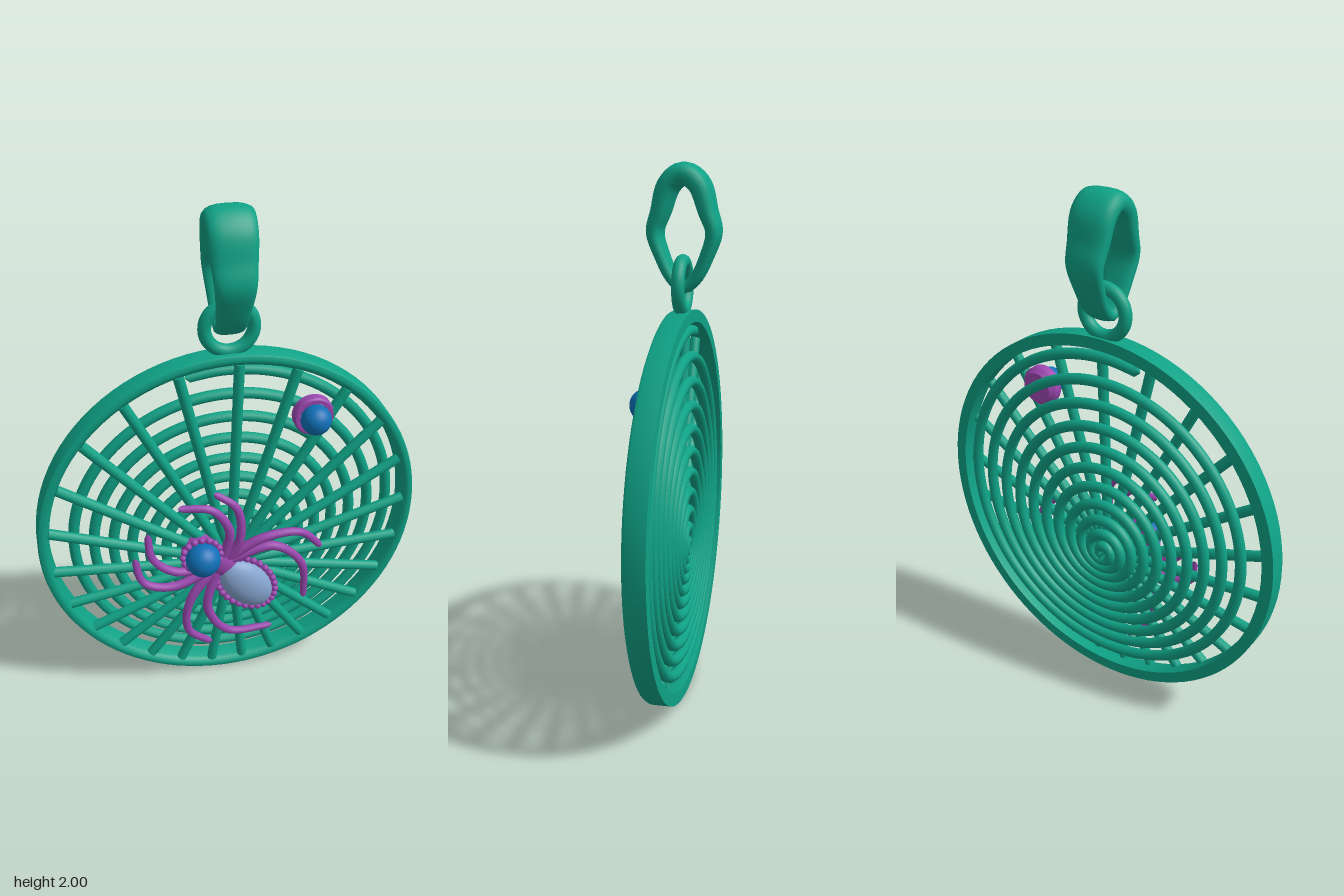
import * as THREE from 'three';
import { toCreasedNormals } from 'three/addons/utils/BufferGeometryUtils.js';

const mat = (color) => new THREE.MeshStandardMaterial({ color });
const teal = mat(0x0fa286), purple = mat(0x9c48b0), blue = mat(0x0f70b7), pale = mat(0x86a5cf);
const V = (x, y, z) => new THREE.Vector3(x, y, z);

const RIM_Y = 0.74;   // centre of the round frame
const WEB_Y = 0.56;   // centre of the web, lower than the frame's

function add(parent, name, geometry, material, x = 0, y = 0, z = 0) {
  const mesh = new THREE.Mesh(geometry, material);
  mesh.name = name;
  mesh.position.set(x, y, z);
  parent.add(mesh);
  return mesh;
}

// Tube whose radius follows radiusAt(t); used for rounded or tapering ends
function taperedTube(curve, segments, radiusAt, sides = 8) {
  const geo = new THREE.TubeGeometry(curve, segments, 1, sides);
  const pos = geo.attributes.position, p = V(0, 0, 0);
  for (let i = 0; i <= segments; i++) {
    const c = curve.getPointAt(i / segments), r = radiusAt(i / segments);
    for (let j = 0; j <= sides; j++) {
      const k = i * (sides + 1) + j;
      p.fromBufferAttribute(pos, k).sub(c).multiplyScalar(r).add(c);
      pos.setXYZ(k, p.x, p.y, p.z);
    }
  }
  return geo;
}

// Lathe turned to face +z; profile points are [radius, z]
function latheZ(profile, segments) {
  const geo = new THREE.LatheGeometry(profile.map(([r, z]) => new THREE.Vector2(r, z)), segments);
  return toCreasedNormals(geo.rotateX(Math.PI / 2), 0.7);
}

// Closed loop of rounded sections, wide at the top and narrow at the bottom
function bailGeometry() {
  const half = [[0.052, 1.925], [0.085, 1.83], [0.106, 1.76], [0.083, 1.68], [0.04, 1.595]];
  const pts = [[0, 1.96], ...half, [0, 1.565], ...half.map(([z, y]) => [-z, y]).reverse()];
  const curve = new THREE.CatmullRomCurve3(pts.map(([z, y]) => V(0, y, z - 0.015)), true);
  const n = 64, m = 20, pos = [], idx = [];
  const soft = (v) => Math.sign(v) * Math.abs(v) ** 0.75;
  for (let i = 0; i < n; i++) {
    const c = curve.getPointAt(i / n), t = curve.getTangentAt(i / n);
    const k = THREE.MathUtils.smoothstep(c.y, 1.5, 1.98);
    const w = 0.053 + 0.034 * k, h = 0.022 + 0.018 * k ** 2;
    for (let j = 0; j < m; j++) {
      const a = (j / m) * Math.PI * 2, s = h * soft(Math.sin(a));
      pos.push(w * soft(Math.cos(a)), c.y + t.z * s, c.z - t.y * s);
      const A = i * m + j, B = i * m + (j + 1) % m, D = ((i + 1) % n) * m;
      idx.push(A, B, D + j, B, D + (j + 1) % m, D + j);
    }
  }
  const geo = new THREE.BufferGeometry();
  geo.setAttribute('position', new THREE.Float32BufferAttribute(pos, 3));
  geo.setIndex(idx);
  geo.computeVertexNormals();
  return geo;
}

// Oval stone setting: solid base with a row of beads round its edge
function beadedSetting(parent, name, rx, ry, count, depth) {
  const base = new THREE.CylinderGeometry(1, 1, depth, 40).rotateX(Math.PI / 2).scale(rx, ry, 1);
  add(parent, name + 'Base', base, purple, 0, 0, depth / 2);
  const beads = new THREE.Group();
  beads.name = name + 'Beads';
  for (let i = 0; i < count; i++) {
    const a = (i / count) * Math.PI * 2;
    add(beads, 'bead', new THREE.SphereGeometry(0.014, 10, 8), purple,
      rx * Math.cos(a), ry * Math.sin(a), depth);
  }
  parent.add(beads);
}

function web() {
  const group = new THREE.Group();
  group.name = 'web';
  // Straight spokes from the web centre to the frame
  const drop = RIM_Y - WEB_Y;
  for (let i = 0; i < 25; i++) {
    const a = THREE.MathUtils.degToRad(88 - i * 14.4);
    const od = -drop * Math.sin(a);
    const len = -od + Math.sqrt(od * od - drop * drop + 0.7 * 0.7);
    const spoke = add(group, 'spoke', new THREE.CylinderGeometry(0.02, 0.02, len, 12),
      teal, Math.cos(a) * len / 2, WEB_Y + Math.sin(a) * len / 2, 0.018);
    spoke.rotation.z = a - Math.PI / 2;
  }
  // Spiral thread behind the spokes, its turns shrinking towards the web centre
  const pts = [], turns = 11, perTurn = 32, total = turns * perTurn;
  for (let i = 0; i < total; i++) {
    const a = THREE.MathUtils.degToRad(104) - (i / perTurn) * Math.PI * 2;
    const s = (1 - i / total) ** 1.3;
    pts.push(V(0.665 * Math.cos(a) * s, WEB_Y + (0.665 * Math.sin(a) + drop) * s, -0.02));
  }
  const curve = new THREE.CatmullRomCurve3(pts);
  curve.arcLengthDivisions = 3000;
  const radius = (t) => 0.021 * Math.sqrt(Math.min(1, t * 1200, (1 - t) * 1200));
  add(group, 'spiralThread', taperedTube(curve, 1100, radius, 10), teal);
  return group;
}

function spider() {
  const group = new THREE.Group();
  group.name = 'spider';

  // Legs, each from the body out to its tip
  const legs = [
    [[-0.03, 0.59], [0.025, 0.69], [0.015, 0.84], [-0.07, 0.91]],
    [[-0.04, 0.60], [-0.015, 0.74], [-0.08, 0.845], [-0.21, 0.86]],
    [[-0.06, 0.585], [-0.22, 0.575], [-0.315, 0.65], [-0.33, 0.76]],
    [[-0.06, 0.57], [-0.24, 0.505], [-0.355, 0.54], [-0.385, 0.65]],
    [[-0.02, 0.60], [0.12, 0.685], [0.27, 0.685], [0.37, 0.58]],
    [[-0.01, 0.59], [0.16, 0.64], [0.28, 0.53], [0.305, 0.32]],
    [[-0.07, 0.56], [-0.175, 0.42], [-0.185, 0.26], [-0.085, 0.15]],
    [[-0.06, 0.55], [-0.105, 0.37], [-0.02, 0.225], [0.175, 0.195]],
  ];
  const heights = [0.045, 0.06, 0.055, 0.035];
  for (const leg of legs) {
    const curve = new THREE.CatmullRomCurve3(leg.map(([x, y], i) => V(x, y, heights[i])));
    const radius = (t) => (0.021 - 0.007 * t) * Math.sqrt(Math.min(1, (1 - t) * 20));
    add(group, 'leg', taperedTube(curve, 40, radius), purple);
  }

  // Thorax between the two stones
  const thorax = add(group, 'thorax', new THREE.SphereGeometry(1, 24, 16), purple, -0.04, 0.575, 0.045);
  thorax.scale.set(0.07, 0.055, 0.03);
  thorax.rotation.z = -0.9;

  // Head: round stone in a beaded cup
  const head = new THREE.Group();
  head.name = 'head';
  head.position.set(-0.125, 0.64, 0.02);
  beadedSetting(head, 'headSetting', 0.074, 0.074, 16, 0.042);
  add(head, 'headStone', new THREE.SphereGeometry(0.068, 32, 24), blue, 0, 0, 0.065);
  group.add(head);

  // Abdomen: oval cabochon in a beaded setting
  const abdomen = new THREE.Group();
  abdomen.name = 'abdomen';
  abdomen.position.set(0.055, 0.46, 0.02);
  abdomen.rotation.z = -0.9;
  beadedSetting(abdomen, 'abdomenSetting', 0.15, 0.1, 28, 0.03);
  add(abdomen, 'abdomenStone', new THREE.SphereGeometry(1, 32, 24), pale, 0, 0, 0.03)
    .scale.set(0.136, 0.086, 0.055);
  group.add(abdomen);
  return group;
}

export function createModel() {
  const model = new THREE.Group();
  model.name = 'pendant';

  // Round frame: flat back and outer wall, rounded front edge
  const rim = [[0.695, -0.042], [0.74, -0.042], [0.74, 0.026], [0.735, 0.036], [0.722, 0.041],
    [0.71, 0.038], [0.7, 0.028], [0.695, 0.015], [0.695, -0.042]];
  add(model, 'frame', latheZ(rim, 96), teal, 0, RIM_Y, 0);

  model.add(web(), spider());

  // Small round stone caught in the web
  const drop = new THREE.Group();
  drop.name = 'smallStoneSetting';
  drop.position.set(0.31, 1.195, 0);
  const cup = [[0, -0.02], [0.06, -0.02], [0.077, 0], [0.077, 0.032], [0.071, 0.038], [0.055, 0.038], [0.05, 0.02]];
  add(drop, 'smallStoneCup', latheZ(cup, 32), purple);
  add(drop, 'smallStone', new THREE.SphereGeometry(0.057, 32, 24), blue, 0, 0, 0.056);
  model.add(drop);

  // Hanging hardware
  add(model, 'jumpRing', new THREE.TorusGeometry(0.088, 0.024, 16, 48), teal, 0, 1.57, -0.008);
  add(model, 'bail', bailGeometry(), teal);
  return model;
}
